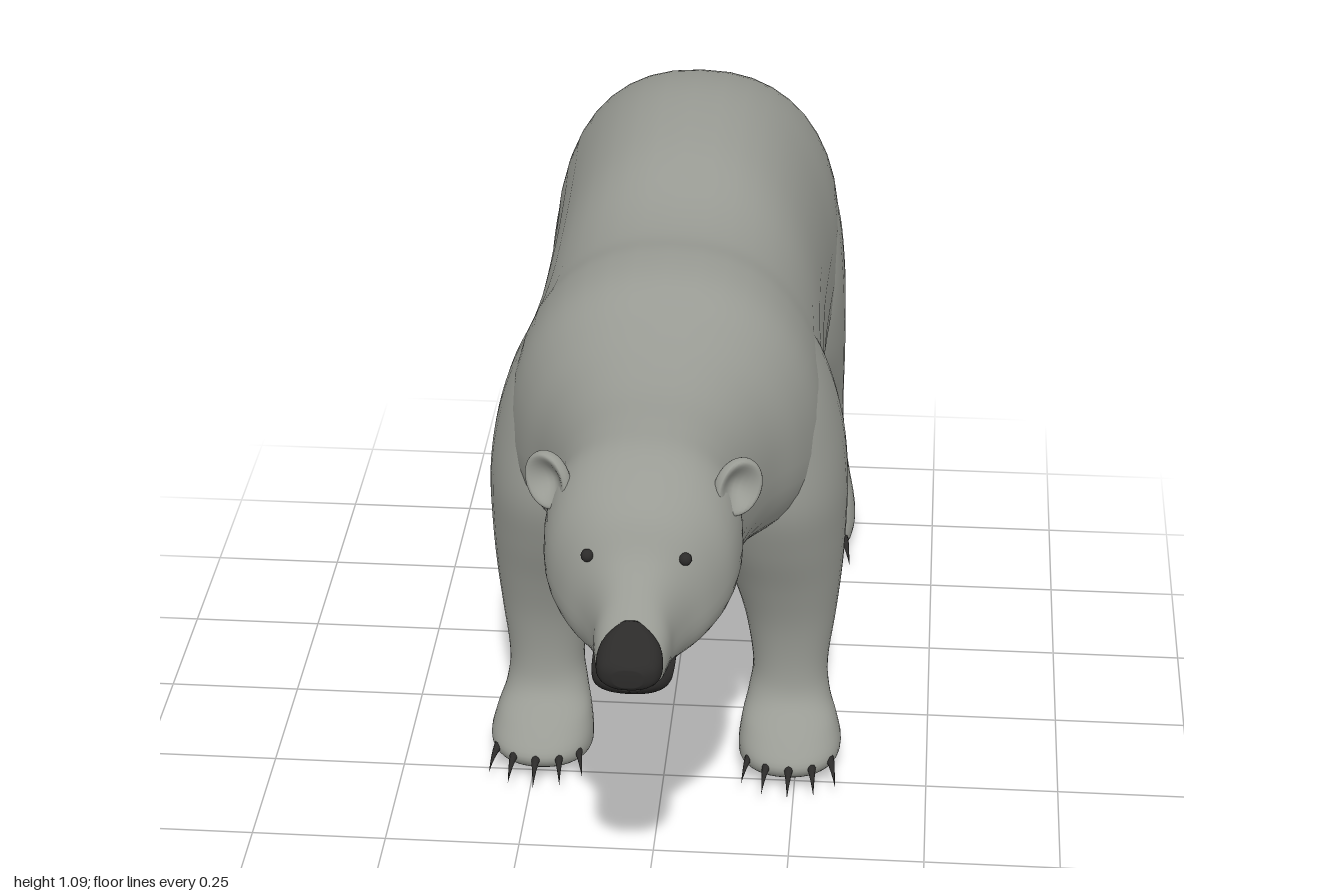
import * as THREE from 'three';

const fur = new THREE.MeshStandardMaterial({ color: 0x999b94 });
fur.name = 'grey fur';
const dark = new THREE.MeshStandardMaterial({ color: 0x2c2b2a });
dark.name = 'dark skin and claw';

// Catmull-Rom resampling of section rows
function resample(rows, steps) {
  const out = [];
  for (let i = 0; i < rows.length - 1; i++) {
    const p0 = rows[Math.max(i - 1, 0)], p1 = rows[i], p2 = rows[i + 1], p3 = rows[Math.min(i + 2, rows.length - 1)];
    for (let s = 0; s < steps; s++) {
      const t = s / steps;
      out.push(p1.map((_, k) => 0.5 * (2 * p1[k] + (p2[k] - p0[k]) * t
        + (2 * p0[k] - 5 * p1[k] + 4 * p2[k] - p3[k]) * t * t
        + (3 * p1[k] - p0[k] - 3 * p2[k] + p3[k]) * t * t * t)));
    }
  }
  out.push(rows[rows.length - 1]);
  return out;
}

// Closed skin over superellipse sections. Row: [t, u0, u1, v0, v1, vMid].
// place(u, v, t) must be a right-handed frame.
function loft(rows, place, power = 2.2, steps = 5, sides = 40) {
  const sections = resample(rows, steps), pos = [], idx = [];
  const bend = c => Math.sign(c) * Math.abs(c) ** (2 / power);
  for (const [t, u0, u1, v0, v1, vm] of sections) {
    for (let j = 0; j < sides; j++) {
      const a = j / sides * Math.PI * 2, c = bend(Math.cos(a)), s = bend(Math.sin(a));
      pos.push(...place((u0 + u1) / 2 + (u1 - u0) / 2 * c, vm + (s > 0 ? v1 - vm : vm - v0) * s, t));
    }
  }
  const n = sections.length;
  for (let i = 0; i < n - 1; i++) {
    for (let j = 0; j < sides; j++) {
      const k = (j + 1) % sides, a = i * sides + j, b = i * sides + k;
      idx.push(a, b, a + sides, b, b + sides, a + sides);
    }
  }
  // end caps
  for (const [row, flip] of [[0, true], [n - 1, false]]) {
    const [t, u0, u1, , , vm] = sections[row], centre = pos.length / 3;
    pos.push(...place((u0 + u1) / 2, vm, t));
    for (let j = 0; j < sides; j++) {
      const a = row * sides + j, b = row * sides + (j + 1) % sides;
      idx.push(centre, flip ? b : a, flip ? a : b);
    }
  }
  const g = new THREE.BufferGeometry();
  g.setAttribute('position', new THREE.Float32BufferAttribute(pos, 3));
  g.setIndex(idx);
  g.computeVertexNormals();
  return g;
}

// Sections along z: [z, halfWidth, bottom, top, heightOfWidest]
const alongZ = (rows, power) =>
  loft(rows.map(([z, w, b, t, m]) => [z, -w, w, b, t, m]), (x, y, z) => [x, y, z], power);

// Sections along y: [y, zBack, zFront, xInner, xOuter], mirrored by side
const alongY = (rows, side = 1, power = 2.2) =>
  loft(rows.map(([y, z0, z1, a, b]) => [y, z0, z1, side > 0 ? a : -b, side > 0 ? b : -a, side * (a + b) / 2]),
    (z, x, y) => [x, y, z], power);

const bodyRows = [
  [-0.985, 0.06, 0.60, 0.76, 0.68], [-0.97, 0.13, 0.55, 0.82, 0.68], [-0.93, 0.19, 0.48, 0.89, 0.68],
  [-0.87, 0.245, 0.43, 0.955, 0.68], [-0.78, 0.28, 0.39, 1.025, 0.68], [-0.65, 0.288, 0.375, 1.07, 0.67],
  [-0.5, 0.28, 0.39, 1.088, 0.66], [-0.3, 0.275, 0.43, 1.075, 0.66], [-0.12, 0.28, 0.45, 1.035, 0.66],
  [0, 0.288, 0.465, 1.025, 0.66], [0.1, 0.292, 0.475, 1.035, 0.68], [0.2, 0.285, 0.49, 1.03, 0.70],
  [0.3, 0.255, 0.53, 1.00, 0.72], [0.4, 0.21, 0.56, 0.975, 0.74], [0.5, 0.18, 0.582, 0.958, 0.75],
  [0.6, 0.165, 0.598, 0.953, 0.76], [0.68, 0.17, 0.608, 0.945, 0.76], [0.75, 0.16, 0.61, 0.915, 0.75],
  [0.80, 0.13, 0.61, 0.88, 0.72], [0.84, 0.092, 0.612, 0.825, 0.70], [0.88, 0.07, 0.616, 0.79, 0.69],
  [0.92, 0.063, 0.625, 0.758, 0.69], [0.96, 0.054, 0.64, 0.728, 0.68], [0.985, 0.035, 0.66, 0.705, 0.68],
];
const frontLegRows = [
  [0.015, 0.11, 0.24, 0.18, 0.30], [0.03, 0.085, 0.285, 0.145, 0.325], [0.06, 0.082, 0.30, 0.14, 0.335],
  [0.1, 0.083, 0.26, 0.145, 0.325], [0.14, 0.075, 0.205, 0.155, 0.31], [0.2, 0.055, 0.19, 0.162, 0.305],
  [0.3, 0.015, 0.20, 0.145, 0.318], [0.4, -0.02, 0.23, 0.115, 0.328], [0.5, -0.06, 0.27, 0.08, 0.333],
  [0.6, -0.09, 0.30, 0.06, 0.333], [0.7, -0.10, 0.30, 0.05, 0.32], [0.8, -0.09, 0.29, 0.05, 0.29],
  [0.9, -0.05, 0.25, 0.05, 0.24],
];
const hindLegRows = [
  [0, -0.82, -0.58, 0.17, 0.30], [0.015, -0.845, -0.545, 0.145, 0.325], [0.05, -0.85, -0.53, 0.14, 0.335],
  [0.09, -0.848, -0.565, 0.145, 0.33], [0.13, -0.846, -0.62, 0.15, 0.32], [0.2, -0.845, -0.655, 0.15, 0.308],
  [0.28, -0.853, -0.65, 0.14, 0.303], [0.35, -0.865, -0.61, 0.125, 0.303], [0.42, -0.885, -0.54, 0.09, 0.304],
  [0.52, -0.90, -0.47, 0.06, 0.304], [0.64, -0.90, -0.45, 0.05, 0.30], [0.76, -0.86, -0.50, 0.05, 0.285],
  [0.86, -0.80, -0.56, 0.05, 0.25],
];
const tailRows = [
  [0.53, -0.965, -0.90, -0.04, 0.04], [0.56, -0.99, -0.89, -0.065, 0.065], [0.66, -1.0, -0.88, -0.08, 0.08],
  [0.76, -0.993, -0.87, -0.08, 0.08], [0.85, -0.962, -0.85, -0.07, 0.07], [0.93, -0.90, -0.82, -0.05, 0.05],
];
// Nose pad and lips wrap the muzzle tip
const noseRows = [
  [0.925, 0.03, 0.69, 0.755, 0.72], [0.945, 0.052, 0.665, 0.747, 0.70], [0.97, 0.055, 0.655, 0.73, 0.69],
  [0.99, 0.046, 0.66, 0.715, 0.69], [1.0, 0.025, 0.67, 0.703, 0.688],
];
const lipRows = [
  [0.85, 0.07, 0.648, 0.66, 0.654], [0.89, 0.0695, 0.632, 0.66, 0.648], [0.92, 0.067, 0.621, 0.665, 0.645],
  [0.95, 0.06, 0.628, 0.675, 0.652], [0.975, 0.045, 0.645, 0.68, 0.662], [0.985, 0.025, 0.655, 0.675, 0.665],
];

// Flattened ball with a hollow front
function earGeometry() {
  const g = new THREE.SphereGeometry(1, 28, 20), p = g.attributes.position;
  for (let i = 0; i < p.count; i++) {
    const x = p.getX(i), y = p.getY(i), z = p.getZ(i);
    p.setXYZ(i, x * 0.043, y * 0.052, z * 0.024 * (z > 0 ? 2.2 * (x * x + y * y) - 0.6 : 1));
  }
  g.computeVertexNormals();
  return g;
}

// Cone along +z curving down
function clawGeometry() {
  const g = new THREE.ConeGeometry(0.01, 0.065, 8, 5).rotateX(Math.PI / 2).translate(0, 0, 0.0225);
  const p = g.attributes.position;
  for (let i = 0; i < p.count; i++) p.setY(i, p.getY(i) - 9 * Math.max(p.getZ(i), 0) ** 2);
  g.computeVertexNormals();
  return g;
}

export function createModel() {
  const model = new THREE.Group();
  model.name = 'bear';
  const add = (name, geometry, material) => {
    const m = new THREE.Mesh(geometry, material);
    m.name = name;
    model.add(m);
    return m;
  };
  add('bodyAndHead', alongZ(bodyRows, 2.3), fur);
  add('tail', alongY(tailRows), fur);
  add('nose', alongZ(noseRows, 2.4), dark);
  add('lips', alongZ(lipRows, 2.2), dark);

  const ear = earGeometry(), claw = clawGeometry(), eye = new THREE.SphereGeometry(0.011, 14, 10);
  for (const side of [1, -1]) {
    const label = side > 0 ? 'left' : 'right';
    add(label + 'FrontLeg', alongY(frontLegRows, side), fur);
    add(label + 'HindLeg', alongY(hindLegRows, side), fur);
    const e = add(label + 'Ear', ear, fur);
    e.position.set(side * 0.16, 0.88, 0.685);
    e.rotation.set(-0.15, side * 0.5, side * -0.35);
    add(label + 'Eye', eye, dark).position.set(side * 0.082, 0.815, 0.822);
    // five claws fanned over the toes of each paw
    for (const [paw, y, z, reach] of [['Front', 0.055, 0.19, 0.108], ['Hind', 0.05, -0.66, 0.125]]) {
      for (let i = -2; i <= 2; i++) {
        const a = i * 0.46, c = add(label + paw + 'Claw', claw, dark);
        c.position.set(side * (0.24 + 0.096 * Math.sin(a)), y, z + reach * Math.cos(a));
        c.rotation.y = side * a * 0.25;
      }
    }
  }
  return model;
}
